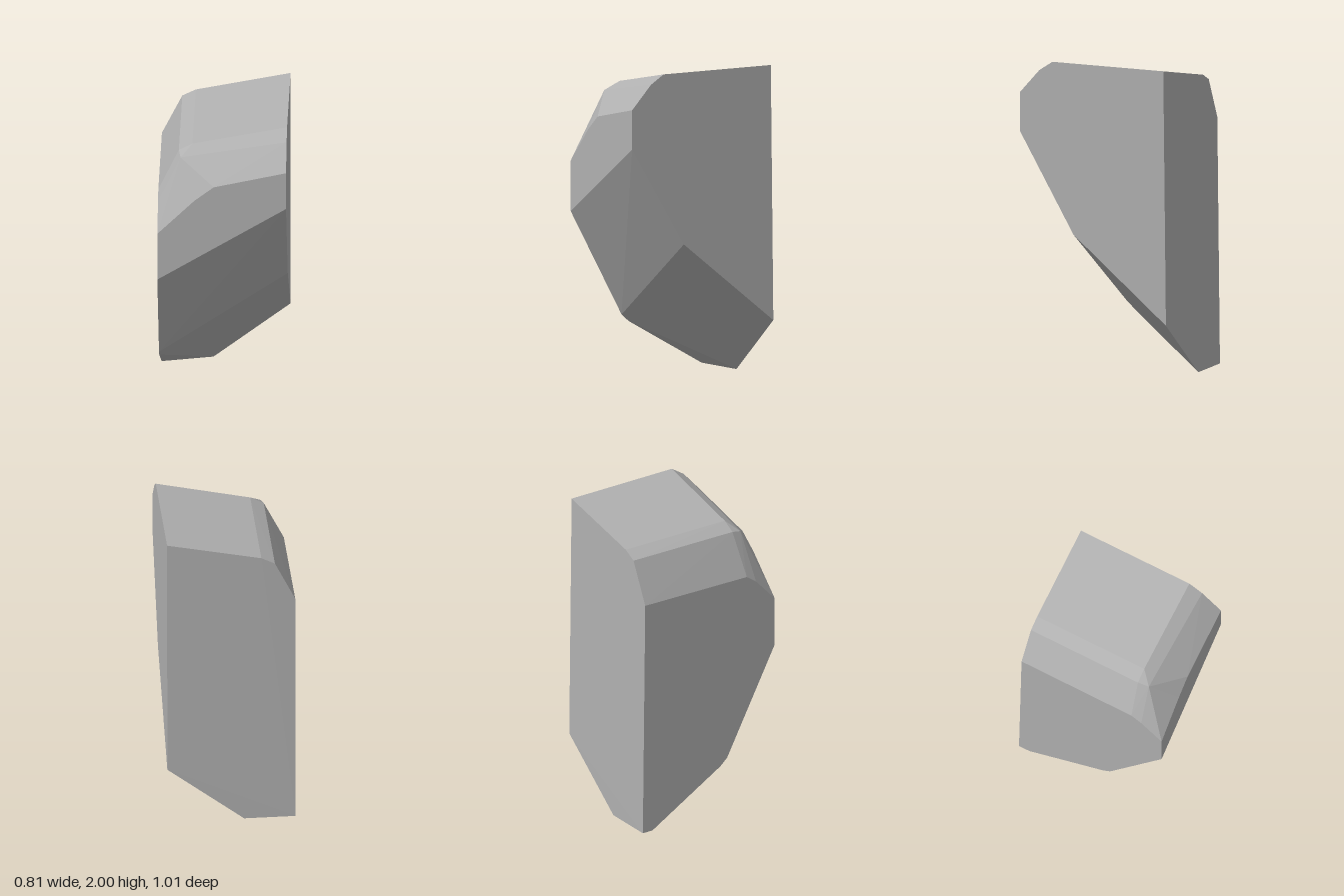
import * as THREE from 'three';
import { ConvexGeometry } from 'three/addons/geometries/ConvexGeometry.js';

export function createModel() {
  const group = new THREE.Group();
  group.name = 'rockFragment';
  const stone = new THREE.MeshStandardMaterial({ color: 0xb0b0b0 });
  stone.name = 'grey stone';

  const corners = [
    // left side
    [-0.403, 0, -0.503], [-0.403, 0, -0.43], [-0.403, 0.305, 0.09], [-0.403, 0.35, 0.14],
    [-0.403, 1.035, 0.503], [-0.403, 1.355, 0.503], [-0.403, 1.51, 0.36], [-0.403, 1.56, 0.29],
    [-0.403, 1.57, -0.485],
    // right side
    [0.403, 0.38, -0.503], [0.403, 0.91, 0.135], [0.403, 1.54, 0.503], [0.403, 1.79, 0.503],
    [0.403, 1.94, 0.37], [0.403, 2, 0.28], [0.403, 2, -0.485],
    // upper edge of the front face
    [-0.05, 1.685, 0.503], [-0.17, 1.59, 0.503],
    // bevelled top ridge
    [-0.262, 1.81, 0.34], [-0.275, 1.828, 0.27], [-0.19, 1.873, 0.27],
    [-0.275, 1.833, -0.485], [-0.19, 1.876, -0.485],
    // bottom tip
    [-0.08, 0, -0.503],
  ].map((p) => new THREE.Vector3(...p));

  // faceted convex block with sharp edges
  const rock = new THREE.Mesh(new ConvexGeometry(corners), stone);
  rock.name = 'rock';
  group.add(rock);
  return group;
}
